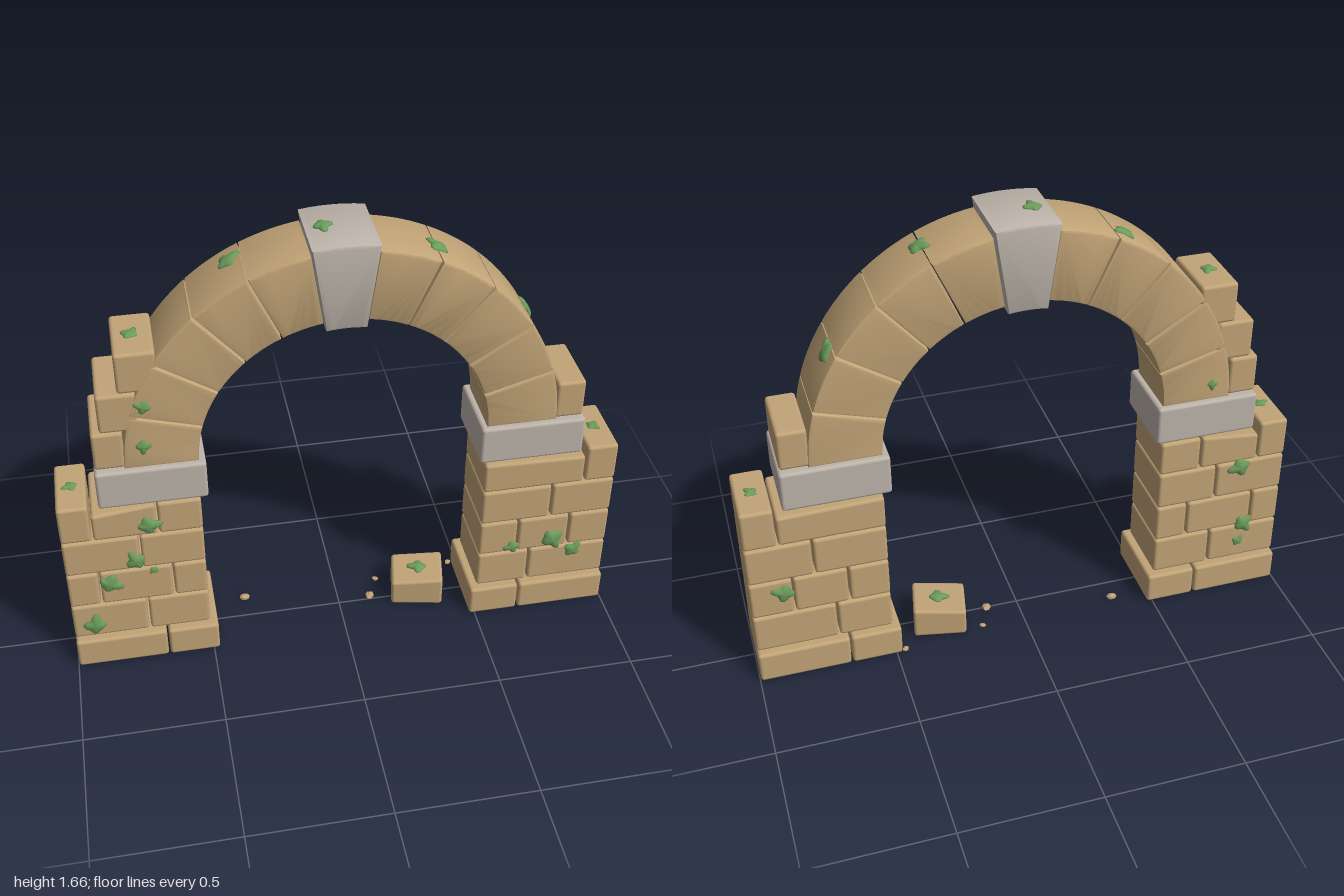
import * as THREE from 'three';
import { toCreasedNormals } from 'three/addons/utils/BufferGeometryUtils.js';
import { RoundedBoxGeometry } from 'three/addons/geometries/RoundedBoxGeometry.js';

const material = (name, color) => {
  const m = new THREE.MeshStandardMaterial({ color });
  m.name = name;
  return m;
};

export function createModel() {
  const sandstone = material('sandstone', 0xc2a477);
  const greyStone = material('grey stone', 0xbdb4aa);
  const mossGreen = material('moss green', 0x6b9c5c);
  const model = new THREE.Group();
  model.name = 'stoneArch';

  const group = (name) => {
    const g = new THREE.Group();
    g.name = name;
    model.add(g);
    return g;
  };
  const add = (parent, name, geometry, mat) => {
    const mesh = new THREE.Mesh(geometry, mat);
    mesh.name = name;
    parent.add(mesh);
    return mesh;
  };

  // Softly rounded block between two x and two y values; slope tilts its top
  const GAP = 0.003;
  function block(parent, name, x0, x1, y0, y1, depth, mat = sandstone, slope = 0) {
    const w = x1 - x0 - GAP * 2, h = y1 - y0 - GAP;
    const geo = new RoundedBoxGeometry(w, h, depth, 2, 0.012);
    if (slope) {
      const p = geo.attributes.position;
      for (let i = 0; i < p.count; i++) {
        if (p.getY(i) > 0) p.setY(i, p.getY(i) + slope * p.getX(i));
      }
    }
    const mesh = add(parent, name, geo, mat);
    mesh.position.set((x0 + x1) / 2, y0 + h / 2, 0);
    return mesh;
  }

  // Piers: each course lists the x positions of its joints
  const piers = {
    rightPier: [
      [-1, -0.665, -0.475],
      [-1, -0.725, -0.502],
      [-1, -0.885, -0.625, -0.502],
      [-1, -0.73, -0.502],
    ],
    leftPier: [
      [0.475, 0.665, 1],
      [0.502, 0.7, 1],
      [0.502, 0.65, 0.845, 1],
      [0.502, 0.765, 1],
    ],
  };
  const courseY = [0, 0.123, 0.275, 0.425, 0.575];
  for (const [name, courses] of Object.entries(piers)) {
    const pier = group(name);
    courses.forEach((xs, row) => {
      for (let i = 0; i + 1 < xs.length; i++) {
        block(pier, row ? 'pierBlock' : 'baseBlock', xs[i], xs[i + 1],
          courseY[row], courseY[row + 1], row ? 0.256 : 0.305);
      }
    });
    const s = name === 'leftPier' ? 1 : -1;
    const xs = [0.475 * s, 0.855 * s].sort((a, b) => a - b);
    block(pier, 'impost', xs[0], xs[1], 0.725, 0.877, 0.285, greyStone);
  }

  // Worn top courses
  const worn = group('wornTopCourses');
  block(worn, 'cornerBlock', -1, -0.887, 0.575, 0.73, 0.256);
  block(worn, 'wornBlock', -0.887, -0.66, 0.575, 0.698, 0.256, sandstone, 0.11);
  block(worn, 'wornBlock', -0.66, -0.502, 0.575, 0.712, 0.256);
  block(worn, 'wornBlock', 0.502, 0.88, 0.575, 0.698, 0.256, sandstone, -0.025);
  block(worn, 'cornerBlock', 0.88, 1, 0.575, 0.73, 0.256);

  // Ring of wedge stones, with a larger grey keystone at the crown
  const arch = group('arch');
  const CENTRE = 0.87, COUNT = 11, STEP = Math.PI / COUNT, BEVEL = 0.009;
  function wedge(index, inner, outer, depth, gap) {
    const a0 = index * STEP, a1 = a0 + STEP;
    const shape = new THREE.Shape();
    shape.absarc(0, 0, outer, a0 + gap / outer, a1 - gap / outer, false);
    shape.absarc(0, 0, inner, a1 - gap / inner, a0 + gap / inner, true);
    shape.closePath();
    const geo = new THREE.ExtrudeGeometry(shape, {
      depth: depth - BEVEL * 2, curveSegments: 6, bevelEnabled: true,
      bevelThickness: BEVEL, bevelSize: BEVEL, bevelOffset: -BEVEL, bevelSegments: 2,
    });
    geo.translate(0, CENTRE, -depth / 2 + BEVEL);
    return toCreasedNormals(geo, 0.75);
  }
  for (let i = 0; i < COUNT; i++) {
    if (i === 5) add(arch, 'keystone', wedge(i, 0.48, 0.78, 0.285, 0.001), greyStone);
    else add(arch, 'archStone', wedge(i, 0.5, 0.75, 0.25, 0.0025), sandstone);
  }

  // Remains of the wall stepping up against the arch
  const steps = group('brokenWall');
  block(steps, 'wallStone', -0.852, -0.742, 0.877, 1.025, 0.244);
  block(steps, 'wallStone', -0.822, -0.685, 1.025, 1.175, 0.244);
  block(steps, 'wallStone', -0.75, -0.61, 1.175, 1.328, 0.244);
  block(steps, 'wallStone', 0.74, 0.848, 0.877, 1.025, 0.244);

  // Fallen block and pebbles on the ground
  const rubble = group('rubble');
  const fallen = block(rubble, 'fallenBlock', 0.208, 0.408, 0, 0.118, 0.17, sandstone, 0.09);
  fallen.position.z = -0.02;
  fallen.rotation.y = -0.2;
  const pebbles = [[-0.355, -0.09, 0.02], [0.122, -0.01, 0.021], [0.162, -0.1, 0.013], [0.466, -0.14, 0.014]];
  pebbles.forEach(([x, z, r], i) => {
    const pebble = add(rubble, 'pebble', new THREE.DodecahedronGeometry(r), sandstone);
    pebble.position.set(x, r * 0.4, z);
    pebble.scale.set(1, 0.5, 0.8);
    pebble.rotation.y = i * 1.3;
  });

  // Flat lobed moss tuft, lying across its local y axis
  const tuft = new THREE.SphereGeometry(1, 20, 8);
  const tp = tuft.attributes.position;
  for (let i = 0; i < tp.count; i++) {
    const x = tp.getX(i), z = tp.getZ(i), a = Math.atan2(z, x);
    const k = 0.82 + 0.17 * Math.cos(4 * a + 0.6) + 0.1 * Math.cos(3 * a);
    tp.setXYZ(i, x * k, tp.getY(i) * 0.28, z * k * 0.85);
  }
  tuft.computeVertexNormals();
  const moss = group('moss');
  const UP = new THREE.Vector3(0, 1, 0);
  let turn = 0;
  function addMoss(x, y, z, r, normal) {
    const mesh = add(moss, 'mossTuft', tuft, mossGreen);
    mesh.position.set(x, y, z);
    mesh.scale.setScalar(r);
    mesh.quaternion.setFromUnitVectors(UP, normal);
    mesh.rotateY(turn++ * 1.9);
  }

  // Moss on the front faces
  const FRONT = new THREE.Vector3(0, 0, 1), BACK = new THREE.Vector3(0, 0, -1);
  [[-0.69, 0.62, 0.046], [-0.75, 0.465, 0.044], [-0.69, 0.41, 0.02], [-0.845, 0.37, 0.048],
    [-0.92, 0.18, 0.05], [0.63, 0.3, 0.034], [0.785, 0.315, 0.052], [0.87, 0.25, 0.04],
  ].forEach(([x, y, r]) => addMoss(x, y, 0.129, r, FRONT));
  [[-0.67, 1.12, 0.032], [-0.68, 0.96, 0.032]].forEach(([x, y, r]) => addMoss(x, y, 0.126, r, FRONT));

  // Moss on the back faces
  [[-0.82, 0.55, 0.048], [-0.86, 0.28, 0.046], [-0.845, 0.2, 0.028], [0.88, 0.37, 0.045],
  ].forEach(([x, y, r]) => addMoss(x, y, -0.129, r, BACK));
  addMoss(-0.68, 0.935, -0.126, 0.024, BACK);

  // Moss on level tops
  [[-0.945, 0.727, 0, 0.03], [0.94, 0.727, 0, 0.03], [-0.685, 1.325, 0, 0.035], [0.31, 0.118, -0.02, 0.04],
  ].forEach(([x, y, z, r]) => addMoss(x, y, z, r, UP));

  // Moss on the outside of the arch: angle, radius, z, size
  [[93.8, 0.78, -0.005, 0.04], [118, 0.75, -0.045, 0.046], [65, 0.75, 0.02, 0.046], [30.5, 0.75, -0.035, 0.05],
  ].forEach(([deg, radius, z, r]) => {
    const a = deg * Math.PI / 180;
    const n = new THREE.Vector3(Math.cos(a), Math.sin(a), 0);
    addMoss(n.x * radius, CENTRE + n.y * radius, z, r, n);
  });

  return model;
}
